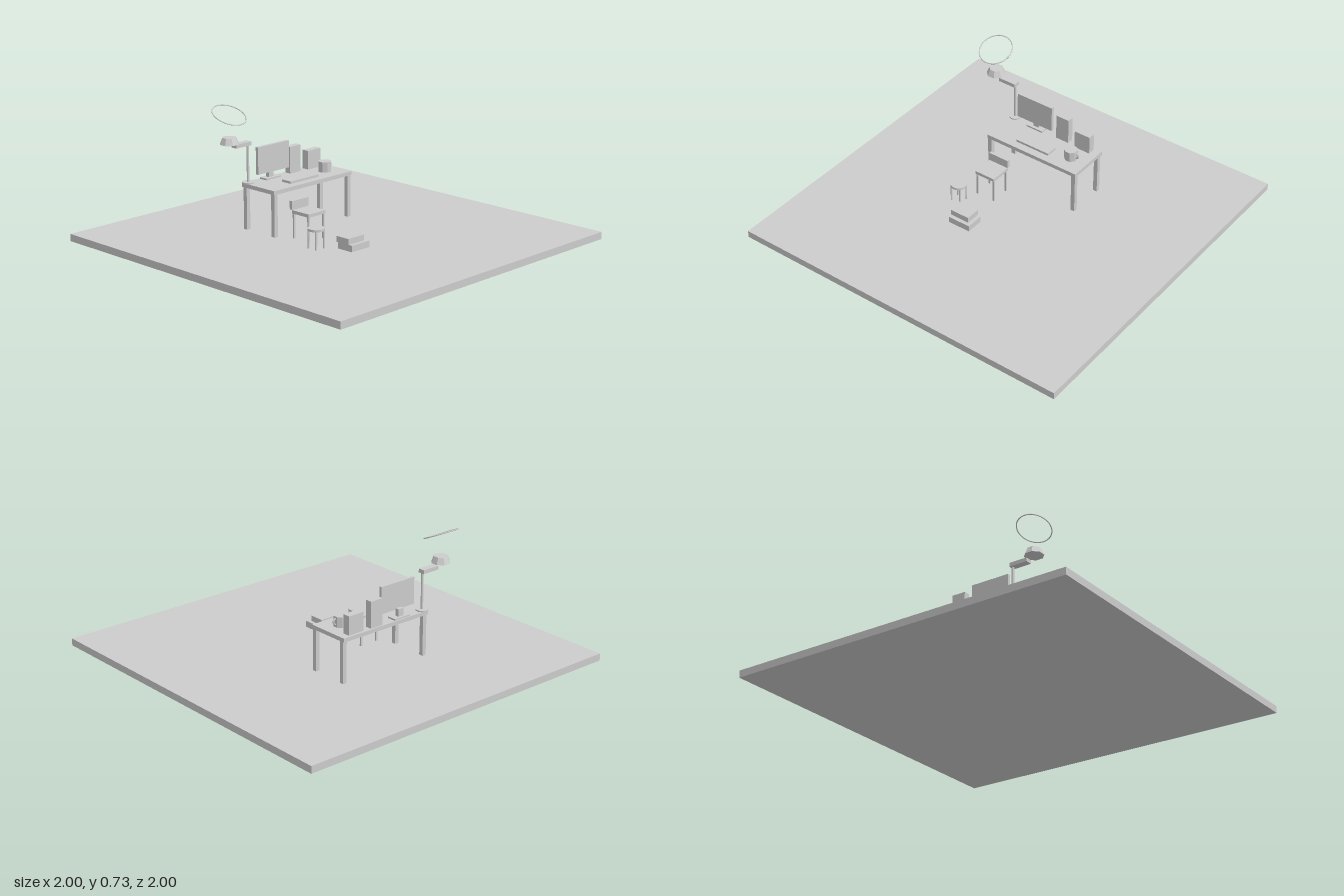
import * as THREE from 'three';

export function createModel() {
  const model = new THREE.Group();
  const grey = new THREE.MeshStandardMaterial({ color: 0xcccccc });
  grey.name = 'light grey';

  const part = (parent, name, geometry, x, y, z) => {
    const mesh = new THREE.Mesh(geometry, grey);
    mesh.name = name;
    mesh.position.set(x, y, z);
    parent.add(mesh);
    return mesh;
  };
  // Box given by its extents along each axis
  const box = (parent, name, [x0, x1], [y0, y1], [z0, z1]) =>
    part(parent, name, new THREE.BoxGeometry(x1 - x0, y1 - y0, z1 - z0),
      (x0 + x1) / 2, (y0 + y1) / 2, (z0 + z1) / 2);
  // Upright cylinder or cone frustum between two heights
  const tube = (parent, name, rTop, rBottom, x, [y0, y1], z, sides = 24) => {
    let geometry = new THREE.CylinderGeometry(rTop, rBottom, y1 - y0, sides);
    if (sides < 12) {
      geometry = geometry.toNonIndexed();
      geometry.computeVertexNormals();
    }
    return part(parent, name, geometry, x, (y0 + y1) / 2, z);
  };
  const group = (name) => {
    const g = new THREE.Group();
    g.name = name;
    model.add(g);
    return g;
  };

  const FLOOR = 0.04, DESK = 0.295;
  box(model, 'floor', [-1, 1], [0, FLOOR], [-1, 1]);

  // Desk
  const desk = group('desk');
  box(desk, 'deskTop', [-0.295, 0.29], [0.273, DESK], [-0.417, -0.168]);
  for (const x of [-0.28, 0.275])
    for (const z of [-0.395, -0.183])
      box(desk, 'deskLeg', [x - 0.012, x + 0.012], [FLOOR, 0.273], [z - 0.012, z + 0.012]);

  // Monitor and keyboard
  const monitor = group('monitor');
  box(monitor, 'screen', [-0.23, -0.002], [0.337, 0.487], [-0.375, -0.357]);
  box(monitor, 'neck', [-0.136, -0.101], [0.303, 0.345], [-0.397, -0.375]);
  box(monitor, 'stand', [-0.17, -0.064], [DESK, 0.304], [-0.41, -0.357]);
  box(model, 'keyboard', [-0.13, 0.08], [DESK, 0.308], [-0.28, -0.213]);

  // Upright boxes at the back of the desk
  box(model, 'computerTower', [0.02, 0.1], [DESK, 0.443], [-0.408, -0.37]);
  box(model, 'smallTower', [0.148, 0.245], [DESK, 0.4], [-0.403, -0.361]);

  // Mug
  const mug = group('mug');
  tube(mug, 'mugBody', 0.037, 0.037, 0.188, [DESK, 0.353], -0.272, 8).rotation.y = Math.PI / 8;
  const handle = new THREE.TorusGeometry(0.016, 0.005, 6, 10, Math.PI);
  part(mug, 'mugHandle', handle, 0.219, 0.325, -0.272).rotation.z = -Math.PI / 2;

  // Lamp
  const lamp = group('lamp');
  tube(lamp, 'lampBase', 0.033, 0.033, -0.273, [DESK, 0.302], -0.392);
  tube(lamp, 'lampPole', 0.007, 0.007, -0.272, [0.3, 0.505], -0.392, 12);
  box(lamp, 'lampArm', [-0.37, -0.263], [0.503, 0.524], [-0.411, -0.373]);
  tube(lamp, 'lampShade', 0.038, 0.053, -0.403, [0.531, 0.567], -0.392, 8).rotation.y = Math.PI / 8;

  // Tilted ring floating over the lamp
  const ring = part(model, 'ring', new THREE.TorusGeometry(0.093, 0.003, 8, 48), -0.403, 0.688, -0.39);
  ring.rotation.x = -1.14;

  // Chair
  const chair = group('chair');
  box(chair, 'seat', [-0.23, -0.107], [0.175, 0.193], [-0.104, 0.022]);
  box(chair, 'backrest', [-0.23, -0.107], [0.193, 0.241], [-0.119, -0.101]);
  for (const x of [-0.223, -0.114])
    for (const z of [-0.094, 0.014])
      box(chair, 'chairLeg', [x - 0.005, x + 0.005], [FLOOR, 0.175], [z - 0.005, z + 0.005]);

  // Stool
  const stool = group('stool');
  tube(stool, 'stoolSeat', 0.045, 0.045, -0.271, [0.138, 0.15], 0.118);
  for (const dx of [-0.029, 0.029])
    for (const dz of [-0.027, 0.027])
      tube(stool, 'stoolLeg', 0.005, 0.005, -0.271 + dx, [FLOOR, 0.138], 0.118 + dz, 10);

  // Stacked boxes
  const stack = group('stack');
  box(stack, 'lowerBox', [-0.195, -0.062], [FLOOR, 0.075], [0.2, 0.3]);
  box(stack, 'upperBox', [-0.198, -0.083], [0.075, 0.107], [0.194, 0.278]);

  return model;
}
